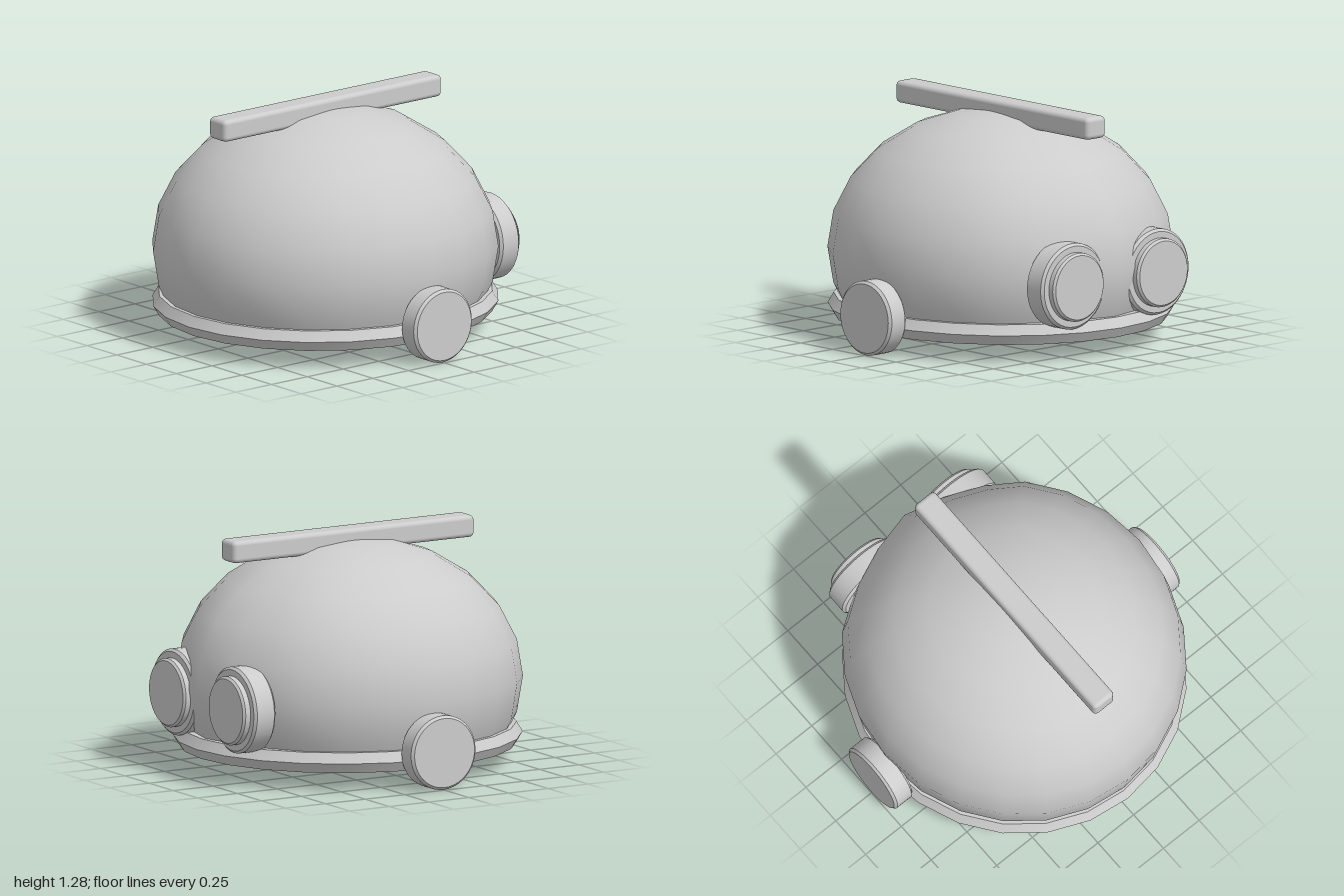
import * as THREE from 'three';
import { toCreasedNormals } from 'three/addons/utils/BufferGeometryUtils.js';
import { RoundedBoxGeometry } from 'three/addons/geometries/RoundedBoxGeometry.js';

const CREASE = 0.6;

export function createModel() {
  const group = new THREE.Group();
  const shellGrey = new THREE.MeshStandardMaterial({ color: 0xcccccc });
  shellGrey.name = 'shellGrey';

  const add = (name, geometry, x = 0, y = 0, z = 0) => {
    const mesh = new THREE.Mesh(geometry, shellGrey);
    mesh.name = name;
    mesh.position.set(x, y, z);
    group.add(mesh);
    return mesh;
  };

  // Disc with bevelled edges, centred on the y axis, from y = 0 to y = height
  const bevelledDisc = (radius, height, bevel) => toCreasedNormals(new THREE.LatheGeometry([
    new THREE.Vector2(0, 0),
    new THREE.Vector2(radius - bevel, 0),
    new THREE.Vector2(radius, bevel),
    new THREE.Vector2(radius, height - bevel),
    new THREE.Vector2(radius - bevel, height),
    new THREE.Vector2(0, height),
  ], 40), CREASE);

  // Dome: squashed ball in 15 degree steps, cut flat and closed at the bottom
  const profile = [new THREE.Vector2(0, 0.105), new THREE.Vector2(0.805, 0.105)];
  for (let deg = -15; deg <= 90; deg += 15) {
    const a = THREE.MathUtils.degToRad(deg);
    profile.push(new THREE.Vector2(deg === 90 ? 0 : 0.91 * Math.cos(a), 0.46 + 0.765 * Math.sin(a)));
  }
  const dome = new THREE.LatheGeometry(profile, 24);
  dome.scale(1, 1, 1.048);
  // Slightly flatten the back on both sides of the centre line
  const p = dome.attributes.position;
  for (let i = 0; i < p.count; i++) {
    const angle = Math.atan2(Math.abs(p.getX(i)), -p.getZ(i));
    if (angle > 0.15 && angle < 0.6) p.setZ(i, p.getZ(i) * 0.972);
  }
  add('dome', toCreasedNormals(dome, CREASE));

  // Six-sided rim ring
  const rim = new THREE.TorusGeometry(0.847, 0.0635, 6, 24);
  rim.rotateX(Math.PI / 2);
  rim.rotateY(Math.PI / 2);
  rim.scale(1, 1, 1.045);
  add('rim', toCreasedNormals(rim, CREASE), 0, 0.155, 0);

  // Crest bar along the top
  add('crestBar', new RoundedBoxGeometry(0.14, 0.12, 1.52, 3, 0.025), 0, 1.22, 0);

  for (const side of [1, -1]) {
    const label = side > 0 ? 'left' : 'right';

    // Round ear piece
    const ear = add(label + 'EarDisc', bevelledDisc(0.203, 0.125, 0.014), side * 0.875, 0.203, 0);
    ear.rotation.z = -side * Math.PI / 2;

    // Stepped round pod on the back
    const base = add(label + 'PodBase', bevelledDisc(0.235, 0.135, 0.014), side * 0.308, 0.415, -0.778);
    const cap = add(label + 'PodCap', bevelledDisc(0.187, 0.055, 0.012), side * 0.308, 0.415, -0.9);
    base.rotation.x = cap.rotation.x = -Math.PI / 2;
  }

  return group;
}
